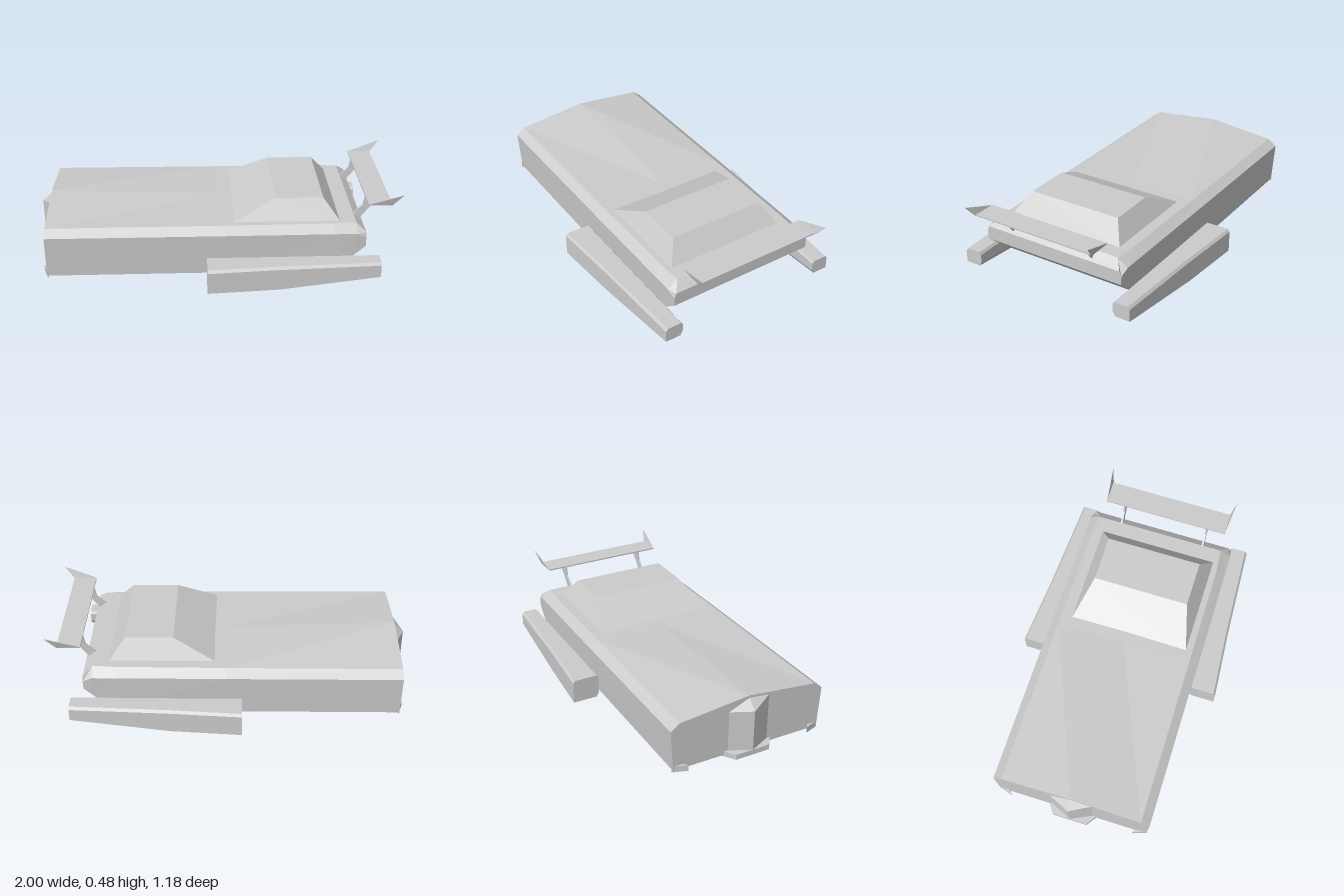
import * as THREE from 'three';

const grey = new THREE.MeshStandardMaterial({ color: 0xcccccc, flatShading: true, side: THREE.DoubleSide });
const MID = 0.0125; // slight sideways shift shared by cabin and wing

// Skins a list of equal-length rings of [x, y, z] points and caps both ends.
function loft(name, rings) {
  const tris = [];
  const n = rings[0].length;
  for (let r = 0; r < rings.length - 1; r++) {
    const a = rings[r], b = rings[r + 1];
    for (let i = 0; i < n; i++) {
      const j = (i + 1) % n;
      tris.push([a[i], b[i], b[j]], [a[i], b[j], a[j]]);
    }
  }
  const first = rings[0], last = rings[rings.length - 1];
  for (let i = 1; i < n - 1; i++) {
    tris.push([first[0], first[i], first[i + 1]], [last[0], last[i + 1], last[i]]);
  }
  // Turn the whole shell outward if its signed volume is negative.
  let volume = 0;
  for (const [p, q, s] of tris) {
    volume += new THREE.Vector3(...p).dot(new THREE.Vector3(...q).cross(new THREE.Vector3(...s)));
  }
  if (volume < 0) tris.forEach((t) => t.reverse());
  const geometry = new THREE.BufferGeometry();
  geometry.setAttribute('position', new THREE.Float32BufferAttribute(tris.flat(2), 3));
  geometry.computeVertexNormals();
  const mesh = new THREE.Mesh(geometry, grey);
  mesh.name = name;
  return mesh;
}

// Body cross-section at x: bottom, side, shoulder and centre ridge.
function bodyRing(x, bottom, side, top, ridge, zBottom, zSide, zTop) {
  const half = [[bottom, zBottom], [side, zSide], [top, zTop]];
  return [
    ...half.map(([y, z]) => [x, y, z]),
    [x, ridge, 0],
    ...half.reverse().map(([y, z]) => [x, y, -z]),
  ];
}

// Horizontal ring from plan points [x, z].
const planRing = (y, points) => points.map(([x, z]) => [x, y, z]);

export function createModel() {
  const model = new THREE.Group();
  model.name = 'lowVehicle';

  // Hull with a ridged hood and an undercut tail
  model.add(loft('body', [
    bodyRing(-0.945, 0.04, 0.275, 0.312, 0.355, 0.435, 0.45, 0.4),
    bodyRing(0.02, 0.04, 0.272, 0.31, 0.312, 0.433, 0.445, 0.395),
    bodyRing(0.62, 0.037, 0.27, 0.31, 0.31, 0.432, 0.44, 0.39),
    bodyRing(0.75, 0.147, 0.268, 0.31, 0.31, 0.432, 0.438, 0.38),
    bodyRing(0.8, 0.19, 0.24, 0.268, 0.268, 0.43, 0.432, 0.42),
  ]));

  // Pointed nose and its lower lip
  const wedge = [[-0.93, -0.15], [-1, 0], [-0.93, 0.15]];
  model.add(loft('nose', [
    planRing(0.04, wedge),
    planRing(0.29, wedge),
    [[-0.93, 0.338, -0.15], [-0.93, 0.355, 0], [-0.93, 0.338, 0.15]],
  ]));
  const lip = [[-0.93, -0.15], [-1, -0.1], [-1, 0.1], [-0.93, 0.15]];
  model.add(loft('noseLip', [planRing(0.03, lip), planRing(0.06, lip)]));

  // Sloped cabin
  model.add(loft('cabin', [
    planRing(0.3, [[0.06, MID - 0.35], [0.67, MID - 0.35], [0.67, MID + 0.35], [0.06, MID + 0.35]]),
    planRing(0.42, [[0.31, MID - 0.277], [0.575, MID - 0.277], [0.575, MID + 0.277], [0.31, MID + 0.277]]),
  ]));

  // Side pontoon section with a chamfered outer top and inner bottom
  const pontoonRing = (s, x, outer, inner, bottom, top) => [
    [x, bottom, s * outer],
    [x, top - 0.015, s * outer],
    [x, top, s * (outer - 0.012)],
    [x, top, s * (inner + 0.01)],
    [x, top - 0.015, s * inner],
    [x, bottom + 0.025, s * inner],
    [x, bottom, s * (inner + 0.015)],
  ];

  for (const s of [-1, 1]) {
    model.add(loft('pontoon', [
      pontoonRing(s, -0.07, 0.59, 0.435, 0, 0.138),
      pontoonRing(s, 0.32, 0.56, 0.433, 0, 0.137),
      pontoonRing(s, 0.875, 0.53, 0.428, 0.05, 0.135),
    ]));

    // Small fang under each front corner
    const fang = [[-0.94, s * 0.44], [-0.967, s * 0.36], [-0.94, s * 0.38]];
    model.add(loft('cornerFang', [planRing(0.03, fang), planRing(0.065, fang)]));

    // Wing strut, narrow at its waist and wide under the wing
    const strut = [[0.745, 0.31], [0.785, 0.28], [0.835, 0.345], [0.92, 0.412], [0.81, 0.412], [0.8, 0.36]];
    const strutShape = new THREE.Shape(strut.map(([x, y]) => new THREE.Vector2(x, y)));
    const strutMesh = new THREE.Mesh(
      new THREE.ExtrudeGeometry(strutShape, { depth: 0.01, bevelEnabled: false }), grey);
    strutMesh.name = 'wingStrut';
    strutMesh.position.z = MID + s * 0.253 - 0.005;
    model.add(strutMesh);

    // Swept triangular endplate leaning outward
    const plate = (dz) => [
      [0.81, 0.415, MID + s * (0.362 + dz)],
      [0.995, 0.477, MID + s * (0.382 + dz)],
      [0.94, 0.41, MID + s * (0.362 + dz)],
    ];
    model.add(loft('wingEndplate', [plate(0), plate(0.006)]));
  }

  // Rear wing blade
  const blade = new THREE.Mesh(new THREE.BoxGeometry(0.13, 0.008, 0.734), grey);
  blade.name = 'rearWing';
  blade.position.set(0.875, 0.414, MID);
  model.add(blade);

  return model;
}
